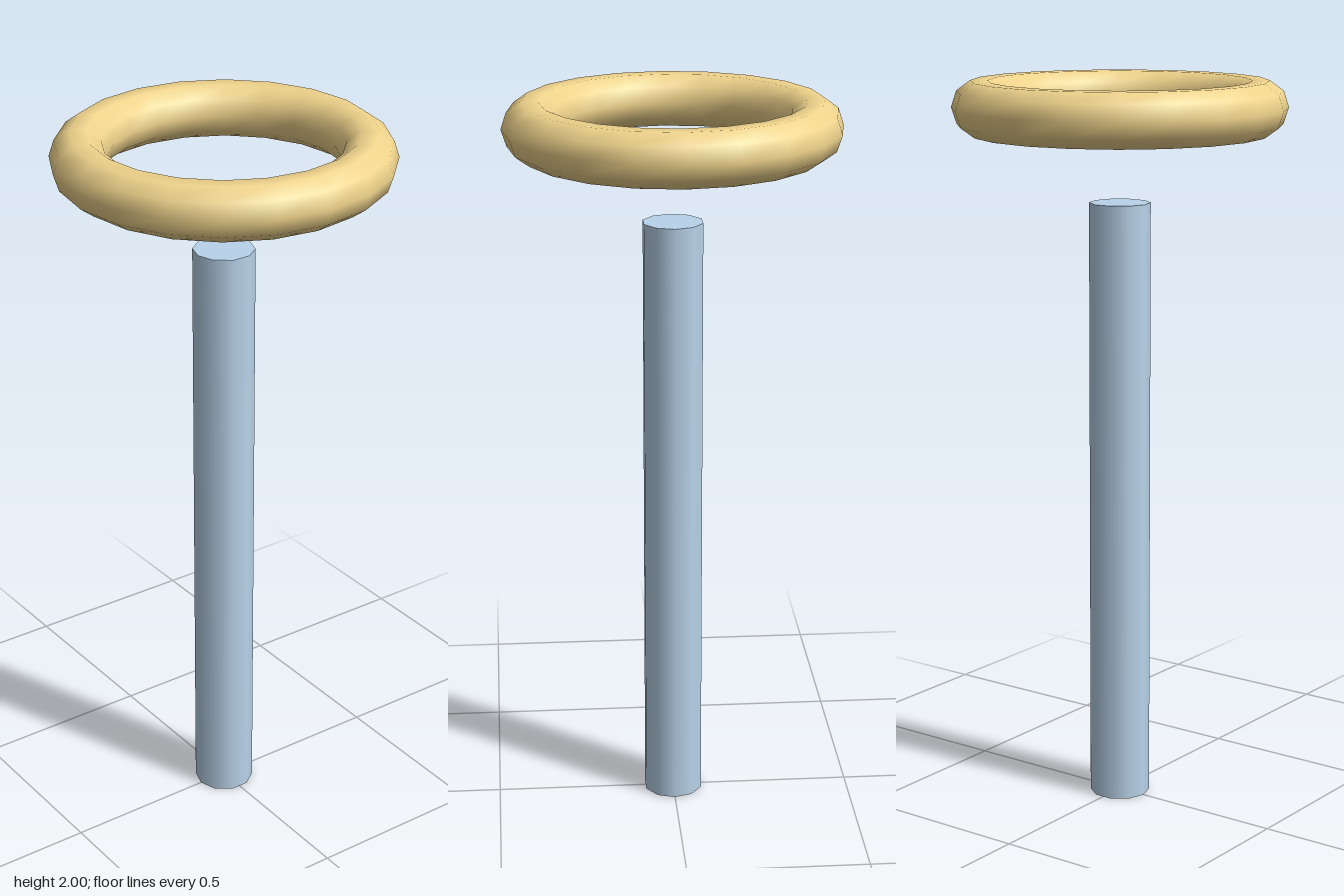
import * as THREE from 'three';

export function createModel() {
  const group = new THREE.Group();

  const add = (name, geometry, color, y) => {
    const mesh = new THREE.Mesh(geometry, new THREE.MeshStandardMaterial({ color }));
    mesh.name = name;
    mesh.position.y = y;
    group.add(mesh);
  };

  // Ten-sided upright post, turned so a corner points along x
  const postHeight = 1.675;
  const post = new THREE.CylinderGeometry(0.083, 0.083, postHeight, 10).rotateY(Math.PI / 2);
  add('post', post, 0xb9d3ea, postHeight / 2);

  // Flat ring floating above the post
  const ring = new THREE.TorusGeometry(0.375, 0.075, 10, 20).rotateX(-Math.PI / 2);
  add('ring', ring, 0xf0d48c, 1.929);

  return group;
}
